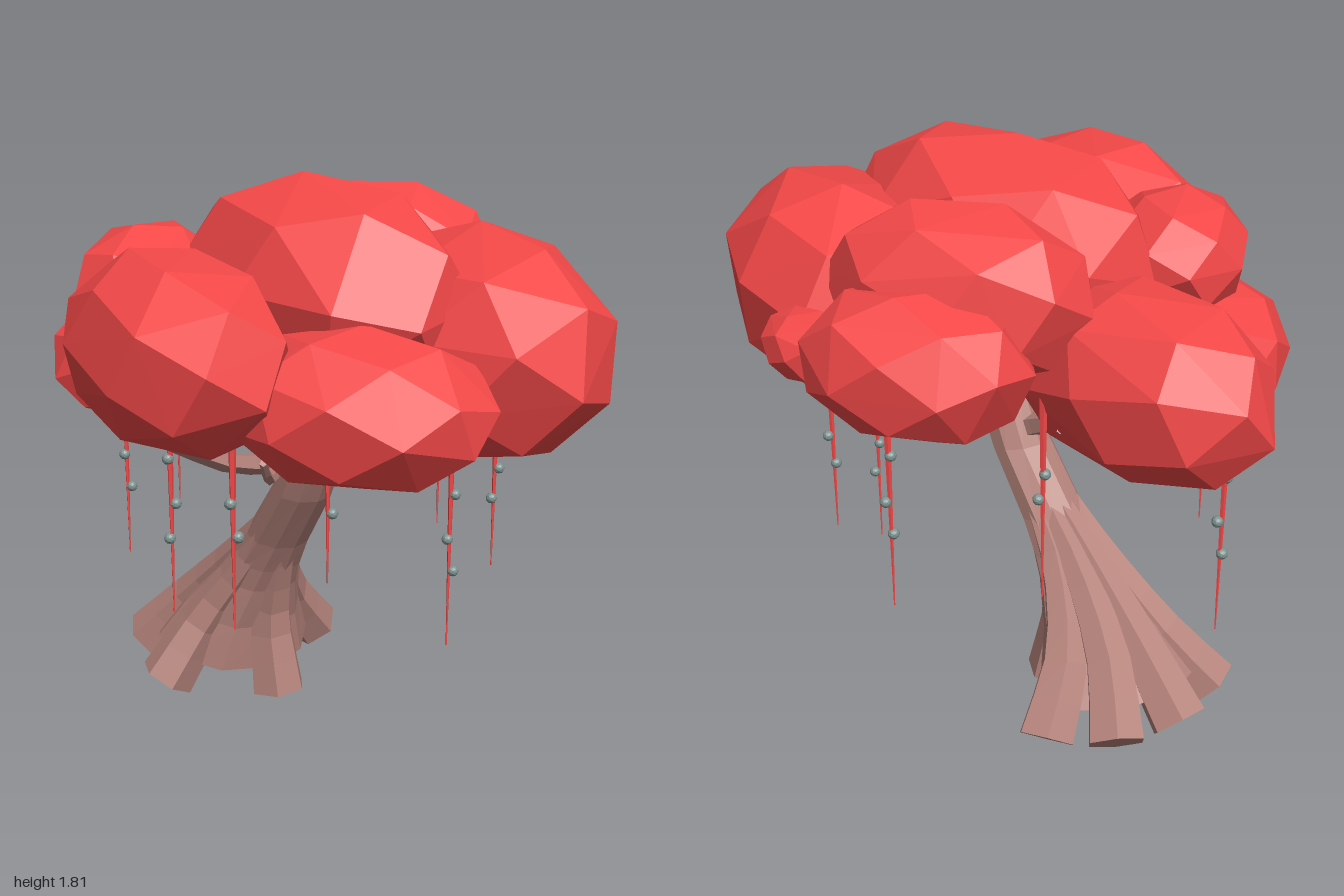
import * as THREE from 'three';
import { ConvexGeometry } from 'three/addons/geometries/ConvexGeometry.js';

const V = (x, y, z) => new THREE.Vector3(x, y, z);
const material = (color) => new THREE.MeshStandardMaterial({ color, flatShading: true });

// Skin over a list of rings (counterclockwise around the direction of travel), closed at both ends.
function loft(rings) {
  const n = rings[0].length, pos = [];
  const tri = (...pts) => pts.forEach((p) => pos.push(p.x, p.y, p.z));
  for (let r = 0; r < rings.length - 1; r++) {
    for (let i = 0; i < n; i++) {
      const j = (i + 1) % n, a = rings[r], b = rings[r + 1];
      tri(a[i], a[j], b[j]);
      tri(a[i], b[j], b[i]);
    }
  }
  [rings[0], rings[rings.length - 1]].forEach((ring, end) => {
    const c = ring.reduce((s, p) => s.add(p), V(0, 0, 0)).divideScalar(n);
    for (let i = 0; i < n; i++) {
      const j = (i + 1) % n;
      if (end) tri(c, ring[i], ring[j]);
      else tri(c, ring[j], ring[i]);
    }
  });
  const g = new THREE.BufferGeometry();
  g.setAttribute('position', new THREE.Float32BufferAttribute(pos, 3));
  g.computeVertexNormals();
  return g;
}

// Tube along a smooth path whose radius changes from r0 to r1.
function taperedTube(points, r0, r1, segs, sides) {
  const curve = new THREE.CatmullRomCurve3(points);
  const { normals, binormals } = curve.computeFrenetFrames(segs, false);
  const rings = [];
  for (let s = 0; s <= segs; s++) {
    const c = curve.getPointAt(s / segs), r = THREE.MathUtils.lerp(r0, r1, s / segs);
    rings.push(Array.from({ length: sides }, (_, i) => {
      const a = (i / sides) * Math.PI * 2;
      return c.clone().addScaledVector(normals[s], r * Math.cos(a)).addScaledVector(binormals[s], r * Math.sin(a));
    }));
  }
  return loft(rings);
}

// Coarse faceted boulder: hull of evenly spread points, turned by yaw and fitted to the box min..max.
function clump(min, max, yaw, seed) {
  const size = max.clone().sub(min), count = 30;
  const turn = new THREE.Euler(seed * 1.3 + 0.4, seed * 2.1, 0);
  const square = (v) => Math.sign(v) * Math.abs(v) ** 0.95;
  const pts = Array.from({ length: count }, (_, i) => {
    const y = 1 - (2 * i + 1) / count, r = Math.sqrt(1 - y * y), a = i * 2.39996;
    const p = V(r * Math.cos(a), y, r * Math.sin(a)).applyEuler(turn);
    return V(square(p.x), square(p.y), square(p.z) * (yaw ? 1.45 : 1)).applyAxisAngle(V(0, 1, 0), yaw);
  });
  const box = new THREE.Box3().setFromPoints(pts), span = box.getSize(V(0, 0, 0));
  return new ConvexGeometry(pts.map((p) => p.sub(box.min).divide(span).multiply(size).add(min)));
}

export function createModel() {
  const model = new THREE.Group();
  const red = material(0xf54848), bark = material(0xb5837b), grey = material(0x7d9290);
  const add = (parent, name, geometry, mat) => {
    const mesh = new THREE.Mesh(geometry, mat);
    mesh.name = name;
    parent.add(mesh);
    return mesh;
  };
  const group = (name) => {
    const g = new THREE.Group();
    g.name = name;
    model.add(g);
    return g;
  };

  // Leaning trunk: y, z, half width, half depth
  const sections = [
    [0.13, -0.42, 0.27, 0.24], [0.28, -0.35, 0.2, 0.19], [0.42, -0.25, 0.14, 0.14], [0.5, -0.19, 0.12, 0.12],
    [0.6, -0.11, 0.105, 0.1], [0.8, 0.04, 0.1, 0.09], [1.0, 0.14, 0.095, 0.095], [1.16, 0.18, 0.085, 0.085],
  ];
  add(model, 'trunk', loft(sections.map(([y, z, rx, rz]) =>
    Array.from({ length: 10 }, (_, i) => {
      const a = (i / 10) * Math.PI * 2, dz = rz * Math.cos(a);
      return V(-0.03 + rx * Math.sin(a), y - 0.2 * dz, z + dz);
    }))), bark);

  // Flaring roots around the foot of the trunk, rising towards the back
  const roots = group('roots');
  [0, 95, 140, 180, 228, 285].forEach((degrees) => {
    const a = THREE.MathUtils.degToRad(degrees), s = Math.sin(a), c = Math.cos(a);
    add(roots, 'root', taperedTube([
      V(-0.03 + 0.05 * s, 0.7, -0.04 + 0.03 * c),
      V(-0.03 + 0.08 * s, 0.5, -0.2 + 0.09 * c),
      V(-0.02 + 0.18 * s, 0.27, -0.36 + 0.18 * c),
      V(-0.01 + 0.33 * s, 0.06 - 0.045 * c, -0.43 + 0.28 * c),
    ], 0.035, 0.095, 7, 6), bark);
  });

  // Branches reaching into the crown: start radius, then path
  const branches = group('branches');
  [
    [0.045, V(-0.04, 0.92, 0.12), V(-0.04, 0.98, 0.26), V(-0.02, 1.01, 0.4), V(0.02, 1.1, 0.58)],
    [0.045, V(-0.05, 0.92, 0.12), V(-0.25, 0.98, 0.22), V(-0.42, 1.02, 0.27), V(-0.64, 1.13, 0.3)],
    [0.045, V(0, 0.98, 0.14), V(0.1, 1.07, 0.14), V(0.28, 1.15, 0.1), V(0.46, 1.25, 0)],
    [0.045, V(-0.03, 0.84, 0.05), V(-0.03, 0.92, -0.1), V(0, 0.98, -0.28), V(0.04, 1.01, -0.48)],
    [0.03, V(-0.03, 0.93, -0.12), V(-0.14, 0.99, -0.22), V(-0.26, 1.01, -0.32), V(-0.36, 1.08, -0.38)],
    [0.025, V(-0.02, 0.94, -0.16), V(0.08, 1.0, -0.24), V(0.16, 1.03, -0.34), V(0.24, 1.1, -0.42)],
    [0.025, V(-0.25, 0.98, 0.22), V(-0.33, 1.0, 0.36), V(-0.4, 1.02, 0.45), V(-0.46, 1.1, 0.52)],
  ].forEach(([r, ...path]) => add(branches, 'branch', taperedTube(path, r, r * 0.45, 6, 5), bark));

  // Faceted leaf clumps: x, y and z ranges, then yaw
  const crown = group('crown');
  [
    [-0.06, 0.69, 1.0, 1.67, 0.0, 1.0, -0.35],
    [-0.56, 0.07, 1.03, 1.48, 0.33, 1.0, 0.9],
    [-0.85, -0.33, 1.09, 1.65, -0.18, 0.69, 0],
    [-0.39, 0.31, 1.15, 1.81, -0.42, 0.74, 0],
    [-0.21, 0.32, 0.98, 1.52, -1.0, -0.1, 0],
    [-0.67, -0.12, 1.27, 1.64, -0.54, 0.01, -0.8],
    [-0.69, -0.11, 1.02, 1.38, -0.71, -0.12, -0.7],
    [0.07, 0.65, 1.23, 1.73, -0.51, 0.25, 0.5],
    [0.32, 0.85, 1.12, 1.56, -0.52, 0.12, 0.4],
    [0.57, 0.8, 1.2, 1.41, 0.02, 0.33, 0],
  ].forEach(([x0, x1, y0, y1, z0, z1, yaw], i) =>
    add(crown, 'leafClump', clump(V(x0, y0, z0), V(x1, y1, z1), yaw, i), red));

  // Hanging vines with small beads: x, z, bottom, then bead heights
  const vines = group('vines');
  [
    [-0.535, 0.11, 0.52, 1.01, 0.87, 0.76], [-0.53, 0.47, 0.6, 0.98, 0.88],
    [-0.44, -0.38, 0.53, 0.87, 0.76], [-0.19, 0.43, 0.65, 1.0, 0.87],
    [0.23, 0.47, 0.36, 0.95, 0.86, 0.715, 0.61], [0.27, -0.38, 0.53, 0.95, 0.87],
    [0.48, 0.37, 0.54, 1.02, 0.87, 0.77], [0.61, -0.09, 0.51, 1.02, 0.87, 0.76],
    [-0.02, -0.82, 0.5, 1.01, 0.87, 0.76],
  ].forEach(([x, z, bottom, ...beads]) => {
    const top = 1.2, stem = new THREE.CylinderGeometry(0.012, 0.002, top - bottom, 5);
    add(vines, 'vine', stem, red).position.set(x, (top + bottom) / 2, z);
    beads.forEach((y, i) => {
      const side = i % 2 ? 0.012 : -0.006;
      add(vines, 'bead', new THREE.IcosahedronGeometry(0.018, 1), grey).position.set(x + side, y, z + side * 0.5);
    });
  });

  return model;
}
